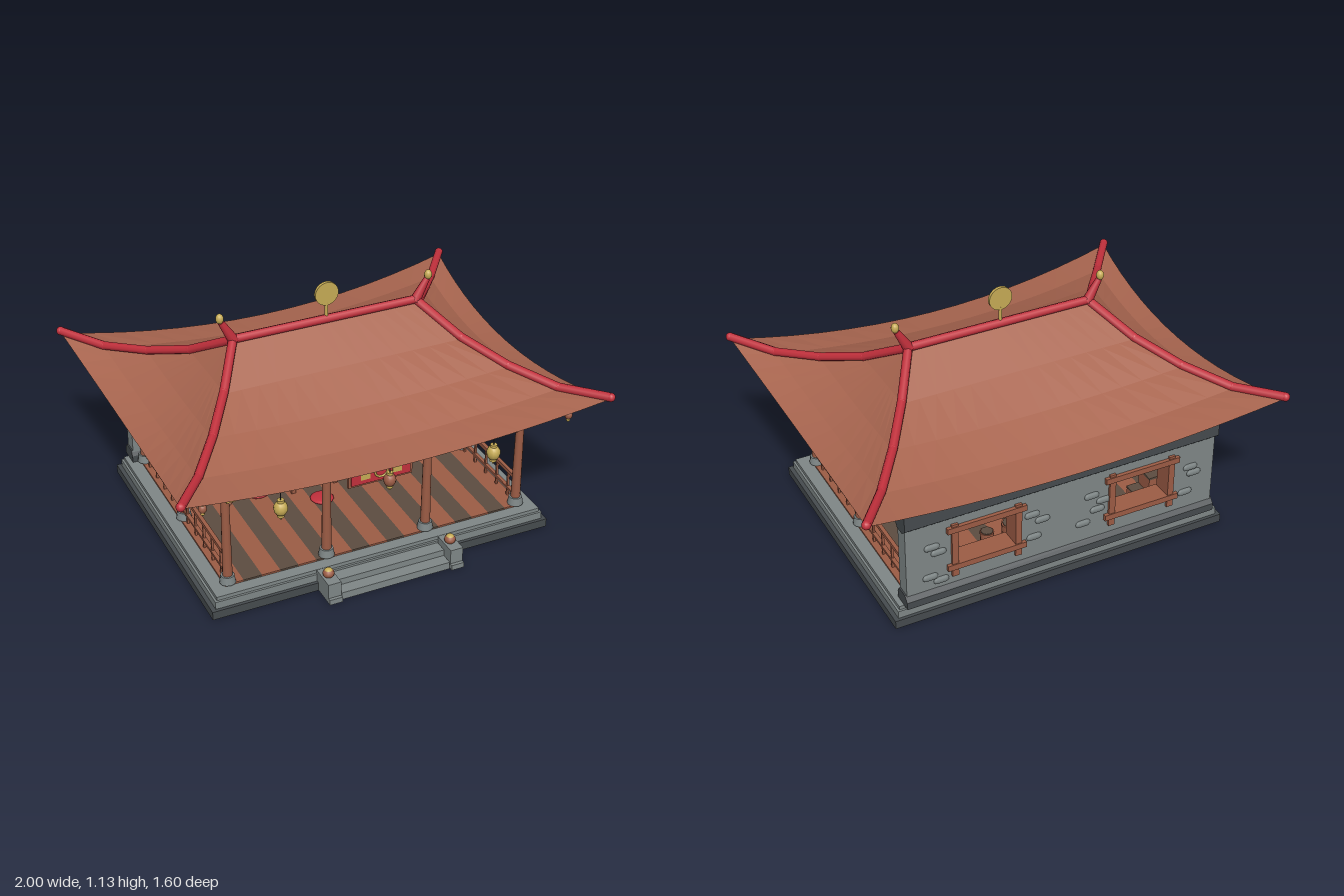
import * as THREE from 'three';

const mat = (name, color) => Object.assign(new THREE.MeshStandardMaterial({ color }), { name });

export function createModel() {
  const model = new THREE.Group();
  model.name = 'pavilion';
  const roofMat = mat('terracotta', 0xa8654f), wood = mat('wood', 0x9c5c45), darkWood = mat('dark wood', 0x5c4c40);
  const red = mat('red lacquer', 0xc2303c), gold = mat('gold', 0xc6ab55), stone = mat('stone', 0x7f8787);
  const darkStone = mat('dark stone', 0x464b4e), iron = mat('iron', 0x34383b);

  const add = (name, geo, m, x = 0, y = 0, z = 0) => {
    const mesh = new THREE.Mesh(geo, m);
    mesh.name = name;
    mesh.position.set(x, y, z);
    model.add(mesh);
    return mesh;
  };
  // box given by its extents
  const box = (name, m, x0, x1, y0, y1, z0, z1) =>
    add(name, new THREE.BoxGeometry(x1 - x0, y1 - y0, z1 - z0), m, (x0 + x1) / 2, (y0 + y1) / 2, (z0 + z1) / 2);
  // upright cylinder from y0 to y1
  const cyl = (name, m, x, z, y0, y1, rBottom, rTop = rBottom, n = 12) =>
    add(name, new THREE.CylinderGeometry(rTop, rBottom, y1 - y0, n), m, x, (y0 + y1) / 2, z);
  // round bar between two points
  const rod = (name, m, a, b, ra, rb = ra, n = 8) => {
    const p = new THREE.Vector3(...a), q = new THREE.Vector3(...b), d = q.clone().sub(p);
    const mesh = add(name, new THREE.CylinderGeometry(rb, ra, d.length(), n), m);
    mesh.position.copy(p).add(q).multiplyScalar(0.5);
    mesh.quaternion.setFromUnitVectors(new THREE.Vector3(0, 1, 0), d.normalize());
    return mesh;
  };
  const ball = (name, m, x, y, z, r, sy = 1) => {
    const b = add(name, new THREE.SphereGeometry(r, 12, 8), m, x, y, z);
    b.scale.y = sy;
    return b;
  };
  // (z, y) profile stretched along x
  const prism = (name, m, pts, half) => {
    const g = new THREE.ExtrudeGeometry(new THREE.Shape(pts.map(([z, y]) => new THREE.Vector2(-z, y))),
      { depth: half * 2, bevelEnabled: false });
    return add(name, g.rotateY(Math.PI / 2).translate(-half, 0, 0), m);
  };

  // base
  box('baseSlab', darkStone, -0.81, 0.81, 0, 0.04, -0.62, 0.62);
  box('platform', stone, -0.79, 0.79, 0.04, 0.075, -0.605, 0.605);
  box('platformLip', stone, -0.78, 0.78, 0.075, 0.092, -0.595, 0.595);

  // floor planks running front to back
  const planks = 17, pw = 1.44 / planks;
  for (let i = 0; i < planks; i++)
    box('floorPlank', i % 2 ? darkWood : wood, -0.72 + i * pw, -0.72 + (i + 1) * pw, 0.09, 0.1, -0.54, 0.54);

  // front steps
  box('upperStep', stone, -0.26, 0.26, 0, 0.065, 0.6, 0.665);
  box('lowerStep', stone, -0.26, 0.26, 0, 0.035, 0.6, 0.72);
  for (const s of [-1, 1]) {
    const x = s * 0.293;
    box('stepCheek', stone, x - 0.03, x + 0.03, 0, 0.095, 0.6, 0.72);
    box('cheekFoot', stone, x - 0.03, x + 0.03, 0, 0.025, 0.72, 0.735);
    ball('cheekKnob', wood, x, 0.108, 0.655, 0.026, 0.85);
    ball('cheekKnobCap', gold, x, 0.122, 0.655, 0.018, 0.6);
  }

  // columns
  const column = (x, z) => {
    cyl('columnBase', stone, x, z, 0.1, 0.137, 0.036, 0.03);
    cyl('column', wood, x, z, 0.13, 0.535, 0.022, 0.018);
    cyl('columnCapital', darkStone, x, z, 0.53, 0.555, 0.024, 0.032);
  };
  for (const s of [-1, 1]) {
    for (const z of [0.52, 0, -0.515]) column(s * 0.7, z);
    column(s * 0.24, 0.52);
    for (const x of [s * 0.7, s * 0.24]) for (const d of [-1, 1])
      if (Math.abs(x + d * 0.07) < 0.75)
        rod('columnBrace', wood, [x, 0.47, 0.52], [x + d * 0.07, 0.545, 0.52], 0.008);
  }
  column(0, -0.515);

  // lacquered beams with gold undersides
  const beam = (x0, x1, z0, z1) => {
    box('beam', red, x0, x1, 0.555, 0.6, z0, z1);
    box('beamTrim', gold, x0, x1, 0.546, 0.555, z0, z1);
  };
  beam(-0.78, 0.78, 0.5, 0.54);
  for (const s of [-1, 1]) {
    beam(s * 0.7 - 0.02, s * 0.7 + 0.02, -0.55, 0.59);
    box('beamEnd', red, s * 0.7 - 0.03, s * 0.7 + 0.03, 0.553, 0.605, 0.485, 0.555);
    box('beamEnd', red, s * 0.75 - 0.028, s * 0.75 + 0.028, 0.553, 0.603, 0.495, 0.545);
  }

  // back wall with two window openings
  const wall = new THREE.Shape([[-0.75, 0.1], [0.75, 0.1], [0.75, 0.56], [-0.75, 0.56]].map(p => new THREE.Vector2(...p)));
  for (const s of [-1, 1]) {
    const c = s * 0.378;
    wall.holes.push(new THREE.Path([[-0.135, 0.245], [-0.135, 0.42], [0.135, 0.42], [0.135, 0.245]]
      .map(([x, y]) => new THREE.Vector2(c + x, y))));
    for (const y of [0.235, 0.43]) box('windowBar', wood, c - 0.185, c + 0.185, y - 0.014, y + 0.014, -0.627, -0.525);
    for (const x of [-0.149, 0.149]) box('windowPost', wood, c + x - 0.015, c + x + 0.015, 0.185, 0.455, -0.622, -0.53);
  }
  add('backWall', new THREE.ExtrudeGeometry(wall, { depth: 0.07, bevelEnabled: false }), stone, 0, 0, -0.61);
  prism('wallCap', darkStone, [[-0.53, 0.58], [-0.53, 0.5], [-0.55, 0.475], [-0.6, 0.475], [-0.628, 0.5], [-0.628, 0.58]], 0.757);
  prism('wallFoot', darkStone, [[-0.53, 0.09], [-0.53, 0.125], [-0.545, 0.15], [-0.605, 0.15], [-0.628, 0.125], [-0.628, 0.09]], 0.757);

  // raised stones on both wall faces
  for (const [x, y] of [[-0.13, 0.37], [-0.19, 0.33], [-0.16, 0.29], [0.16, 0.37], [0.11, 0.33], [0.15, 0.25], [-0.09, 0.235],
    [0.63, 0.365], [0.6, 0.33], [0.64, 0.21], [0.59, 0.18], [-0.63, 0.36], [-0.65, 0.325], [-0.61, 0.23]])
    for (const z of [-0.54, -0.61]) {
      const b = rod('wallStone', stone, [x - 0.022, y, z], [x + 0.022, y, z], 0.018);
      b.geometry = new THREE.CapsuleGeometry(0.018, 0.036, 3, 8);
      b.scale.z = 0.5;
    }

  // side railings
  for (const s of [-1, 1]) {
    const x = s * 0.7;
    for (const [y, h] of [[0.145, 0.006], [0.232, 0.009]]) box('rail', wood, x - 0.009, x + 0.009, y - h, y + h, -0.5, 0.5);
    for (let i = 0; i < 10; i++) {
      const z = -0.45 + i * 0.1;
      box('railPost', wood, x - 0.005, x + 0.005, 0.1, 0.23, z - 0.005, z + 0.005);
    }
  }

  // roof: four concave slopes, each running down the top, round the eave and up the underside
  // rings: half length, half depth, hip height, sag, inward bow
  const rings = [[0.44, 0, 0.935, 0, 0], [0.565, 0.2, 0.815, 0.003, 0.005], [0.695, 0.395, 0.742, 0.032, 0.012],
    [0.835, 0.59, 0.7, 0.062, 0.028], [0.98, 0.78, 0.715, 0.1, 0.05]];
  const under = ([a, b, y, sag, bow]) => [a, b, y - 0.04, sag, bow];
  const rows = [...rings, [0.925, 0.725, 0.675, 0.1, 0.05], ...rings.slice(0, 4).reverse().map(under)];
  const slope = (ia, io, turn) => {
    const pos = [], n = 14;
    const pt = (r, u) => [u * r[ia], r[2] - r[3] * (1 - u * u), r[io] - r[4] * (1 - u * u)];
    for (let i = 0; i < rows.length - 1; i++)
      for (let j = 0; j < n; j++) {
        const u = -1 + 2 * j / n, v = u + 2 / n;
        const a = pt(rows[i], u), b = pt(rows[i + 1], u), c = pt(rows[i + 1], v), d = pt(rows[i], v);
        pos.push(...a, ...b, ...c, ...a, ...c, ...d);
      }
    const g = new THREE.BufferGeometry();
    g.setAttribute('position', new THREE.Float32BufferAttribute(pos, 3));
    g.computeVertexNormals();
    add('roofSlope', g.rotateY(turn), roofMat);
  };
  for (const k of [0, 1]) {
    slope(0, 1, k * Math.PI);
    slope(1, 0, (k + 0.5) * Math.PI);
  }

  // ridge, hips, horns and finials
  rod('ridge', red, [-0.45, 0.948, 0], [0.45, 0.948, 0], 0.02);
  for (const sx of [-1, 1]) {
    for (const sz of [-1, 1])
      for (let i = 0; i < 4; i++) {
        const [p, q] = [rings[i], rings[i + 1]].map(r => [sx * r[0], r[2] + 0.01, sz * r[1]]);
        rod('hipRidge', red, p, q, 0.02);
        ball('hipJoint', red, ...q, 0.02);
      }
    rod('ridgeHorn', red, [sx * 0.435, 0.94, 0], [sx * 0.492, 1.04, 0], 0.025, 0.014);
    ball('hornKnob', gold, sx * 0.497, 1.058, 0, 0.018, 1.3);
  }
  cyl('discStem', gold, 0, 0, 0.95, 1.03, 0.008);
  add('ridgeDisc', new THREE.CylinderGeometry(0.055, 0.055, 0.014, 28).rotateX(Math.PI / 2), gold, 0, 1.072, 0);

  // hanging lanterns
  const lantern = (x, y, z, r, body, trim, top) => {
    ball('lantern', body, x, y, z, r, 1.15);
    for (const d of [-1, 1]) cyl('lanternCap', trim, x, z, y + d * r * 1.15 - 0.006, y + d * r * 1.15 + 0.006, r * 0.5);
    cyl('lanternTassel', trim, x, z, y - r * 1.8, y - r * 1.1, 0.004);
    rod('lanternCord', iron, [x, y + r, z], [x, top, z], 0.003);
  };
  for (const s of [-1, 1]) {
    lantern(s * 0.5, 0.49, 0.635, 0.031, gold, gold, 0.58);
    rod('lanternHook', iron, [s * 0.5, 0.575, 0.54], [s * 0.5, 0.575, 0.637], 0.004);
    lantern(s * 0.85, 0.607, 0.665, 0.018, wood, gold, 0.65);
  }
  lantern(0, 0.49, 0.635, 0.028, wood, gold, 0.58);
  rod('lanternHook', iron, [0, 0.575, 0.54], [0, 0.575, 0.637], 0.004);

  // front board with plain gold ornaments
  box('boardFrame', wood, -0.152, 0.152, 0.432, 0.548, 0.535, 0.549);
  box('board', red, -0.14, 0.14, 0.443, 0.537, 0.549, 0.556);
  for (const x of [-0.075, 0.075]) box('boardOrnament', gold, x - 0.022, x + 0.022, 0.465, 0.517, 0.556, 0.56);
  add('boardRing', new THREE.TorusGeometry(0.03, 0.005, 6, 20), gold, 0, 0.49, 0.557);

  // low table, teapot, cups and cushions
  box('tableTop', wood, -0.21, 0.06, 0.15, 0.163, -0.13, 0.055);
  for (const x of [-0.18, 0.03]) for (const z of [-0.1, 0.025]) box('tableLeg', wood, x - 0.01, x + 0.01, 0.1, 0.15, z - 0.01, z + 0.01);
  ball('teapot', iron, -0.11, 0.178, -0.04, 0.022, 0.8);
  ball('teapotLid', iron, -0.11, 0.196, -0.04, 0.007);
  rod('teapotSpout', iron, [-0.095, 0.175, -0.04], [-0.07, 0.192, -0.04], 0.006, 0.004);
  for (const [x, z] of [[-0.03, -0.01], [-0.04, -0.08]]) cyl('cup', stone, x, z, 0.163, 0.18, 0.007, 0.01);
  for (const [x, z] of [[-0.08, 0.125], [-0.33, -0.04], [0.17, -0.04], [-0.08, -0.2]])
    ball('cushion', red, x, 0.105, z, 0.055, 0.2);

  // stacked crates with coloured fronts
  for (const [x0, x1, y, m] of [[-0.655, -0.555, 0.1, red], [-0.55, -0.44, 0.1, gold], [-0.6, -0.5, 0.18, red]]) {
    box('crate', wood, x0, x1, y, y + 0.078, -0.49, -0.4);
    box('crateFront', m, x0 + 0.02, x1 - 0.02, y + 0.018, y + 0.06, -0.4, -0.396);
    box('crateLid', darkWood, x0 - 0.002, x1 + 0.002, y + 0.07, y + 0.08, -0.492, -0.398);
  }

  // barrels and a stove with a kettle
  for (const [x, z, r, h] of [[0.17, -0.44, 0.046, 0.215], [0.29, -0.44, 0.032, 0.21]]) {
    cyl('barrel', wood, x, z, 0.1, h, r * 0.85, r);
    cyl('barrelHoop', darkWood, x, z, 0.125, 0.133, r * 0.93, r * 0.95);
    cyl('barrelLid', darkWood, x, z, h, h + 0.004, r * 0.85);
  }
  cyl('stove', wood, 0.49, -0.355, 0.1, 0.18, 0.04, 0.048);
  cyl('stoveHoop', darkWood, 0.49, -0.355, 0.165, 0.172, 0.049);
  ball('kettle', iron, 0.49, 0.205, -0.355, 0.034, 0.8);
  return model;
}
